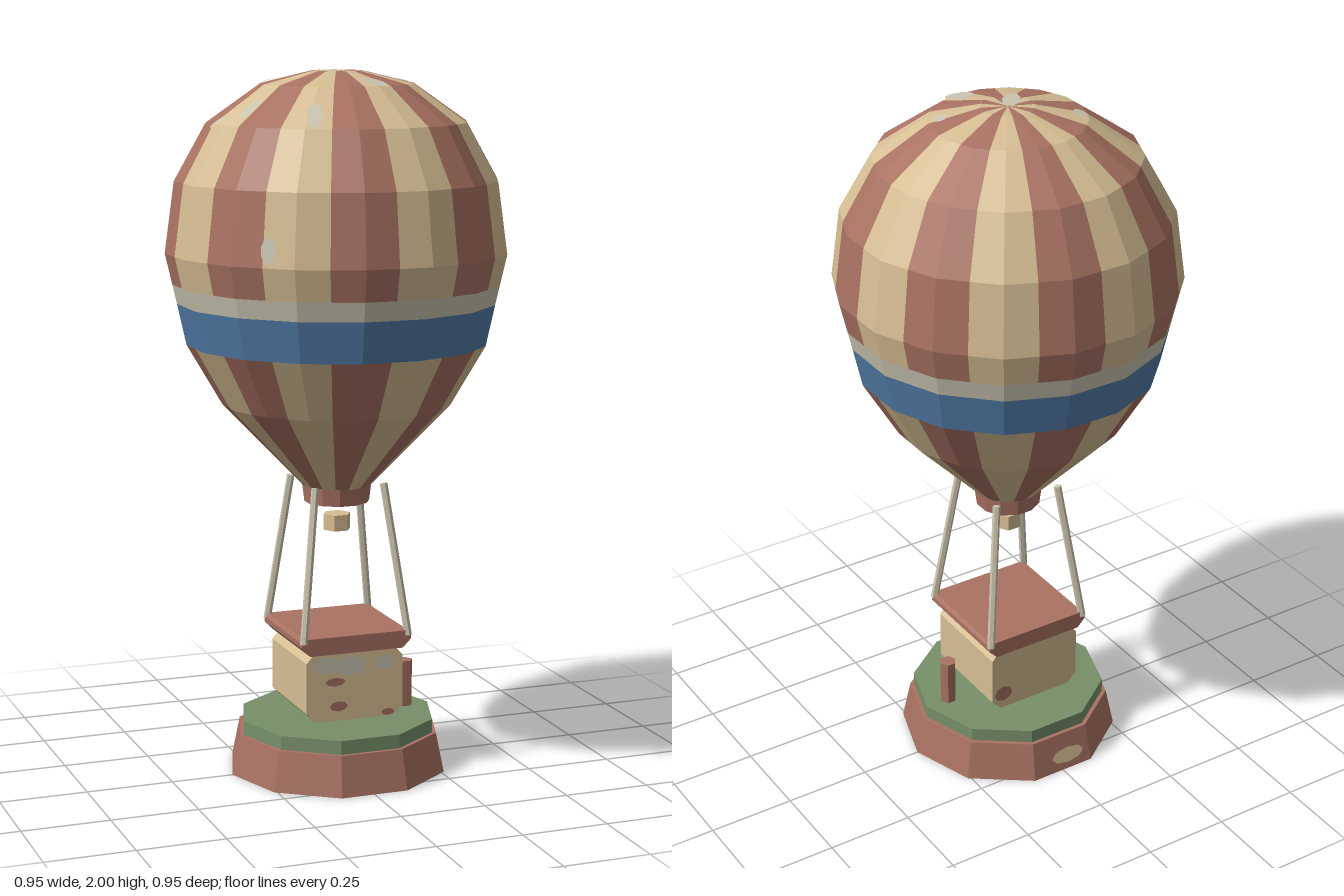
import * as THREE from 'three';

const mat = (name, color) => {
  const m = new THREE.MeshStandardMaterial({ color });
  m.name = name;
  return m;
};

export function createModel() {
  const red = mat('fadedRed', 0xa97262);
  const cream = mat('cream', 0xd6be94);
  const pale = mat('paleGrey', 0xc9c4b0);
  const blue = mat('blue', 0x527ba8);
  const green = mat('green', 0x78906a);
  const ropeMat = mat('rope', 0xcdc6b0);

  const model = new THREE.Group();
  const add = (name, geometry, material, x = 0, y = 0, z = 0, parent = model) => {
    const flat = geometry.index ? geometry.toNonIndexed() : geometry;
    flat.computeVertexNormals();
    const mesh = new THREE.Mesh(flat, material);
    mesh.name = name;
    mesh.position.set(x, y, z);
    parent.add(mesh);
    return mesh;
  };
  // Prism with a corner on the x axis when sides is 6 or 10
  const prism = (rTop, rBottom, h, sides) =>
    new THREE.CylinderGeometry(rTop, rBottom, h, sides, 1, false, Math.PI / sides);

  // Envelope: 16 flat gores; profile gives [distance to flat, height]
  const lower = [[0.095, 0.83], [0.32, 1.07], [0.418, 1.242]];
  const blueBand = [[0.418, 1.242], [0.443, 1.358]];
  const paleBand = [[0.443, 1.358], [0.455, 1.412]];
  const upper = [[0.455, 1.412], [0.475, 1.5], [0.448, 1.7], [0.36, 1.86],
    [0.213, 1.965], [0.072, 2], [0, 2]];
  const step = Math.PI / 16;

  // Each stripe spans the middle of one flat to the middle of the next
  function gores(profile, keep) {
    const pos = [];
    const point = ([a, y], k) => {
      const r = k % 2 ? a / Math.cos(step) : a;
      return [r * Math.sin(k * step), y, r * Math.cos(k * step)];
    };
    for (let k = 0; k < 32; k++) {
      if (!keep(Math.floor(k / 2))) continue;
      for (let j = 0; j < profile.length - 1; j++) {
        const a = point(profile[j], k), b = point(profile[j], k + 1);
        const c = point(profile[j + 1], k + 1), d = point(profile[j + 1], k);
        pos.push(...a, ...b, ...c);
        if (profile[j + 1][0] > 0) pos.push(...a, ...c, ...d);
      }
    }
    const g = new THREE.BufferGeometry();
    g.setAttribute('position', new THREE.Float32BufferAttribute(pos, 3));
    return g;
  }
  const envelope = new THREE.Group();
  envelope.name = 'envelope';
  model.add(envelope);
  const odd = (s) => s % 2 === 1, even = (s) => s % 2 === 0, all = () => true;
  for (const [part, profile] of [['lower', lower], ['upper', upper]]) {
    add(part + 'RedStripes', gores(profile, odd), red, 0, 0, 0, envelope);
    add(part + 'CreamStripes', gores(profile, even), cream, 0, 0, 0, envelope);
  }
  add('blueBand', gores(blueBand, all), blue, 0, 0, 0, envelope);
  add('paleBand', gores(paleBand, all), pale, 0, 0, 0, envelope);

  // Worn spots lying on the flats of the upper envelope: x, z, width, length
  const spots = [[-0.17, -0.09, 0.055, 0.04], [-0.355, 0.025, 0.04, 0.05],
    [-0.285, 0.1, 0.04, 0.09], [0.165, 0.075, 0.04, 0.04], [-0.165, 0.275, 0.045, 0.11],
    [0.04, 0.18, 0.065, 0.09], [-0.32, 0.343, 0.045, 0.07]];
  for (const [x, z, w, l] of spots) {
    const ang = Math.round(Math.atan2(x, z) / (2 * step)) * 2 * step;
    const a = x * Math.sin(ang) + z * Math.cos(ang);
    const u = x * Math.cos(ang) - z * Math.sin(ang);
    let j = 1;
    while (j < upper.length - 2 && upper[j + 1][0] > a) j++;
    const [a0, y0] = upper[j], [a1, y1] = upper[j + 1];
    const y = y0 + (y1 - y0) * (a0 - a) / (a0 - a1);
    const holder = new THREE.Group();
    holder.name = 'wornSpot';
    holder.rotation.y = ang;
    envelope.add(holder);
    const tilt = Math.atan2(a0 - a1, y1 - y0);
    const spot = add('spot', new THREE.CircleGeometry(0.5, 9), pale,
      u, y + 0.003 * Math.sin(tilt), a + 0.003 * Math.cos(tilt), holder);
    spot.rotation.x = -tilt;
    spot.scale.set(w, l, 1);
  }
  const crown = add('crownSpot', new THREE.CircleGeometry(0.5, 9), pale, -0.03, 2.001, 0.03, envelope);
  crown.rotation.set(-Math.PI / 2, 0, -0.7);
  crown.scale.set(0.05, 0.09, 1);

  // Neck and burner
  add('neck', prism(0.1, 0.093, 0.055, 12), red, 0, 0.81, 0);
  add('burner', prism(0.04, 0.04, 0.046, 6), cream, 0, 0.722, 0);

  // Four slanted ropes
  for (const sx of [-1, 1]) for (const sz of [-1, 1]) {
    const top = new THREE.Vector3(sx * 0.103, 0.845, sz * 0.103);
    const bottom = new THREE.Vector3(sx * 0.158, 0.41, sz * 0.158);
    const dir = top.clone().sub(bottom);
    const mid = top.clone().add(bottom).multiplyScalar(0.5);
    const rope = add('rope', new THREE.CylinderGeometry(0.011, 0.011, dir.length(), 6), ropeMat,
      mid.x, mid.y, mid.z);
    rope.quaternion.setFromUnitVectors(new THREE.Vector3(0, 1, 0), dir.normalize());
  }

  // Basket and its lid: mirrored outlines extruded front to back
  function bar(half, depth) {
    const pts = [...half, ...half.map(([x, y]) => [-x, y]).reverse()];
    const shape = new THREE.Shape(pts.map(([x, y]) => new THREE.Vector2(x, y)));
    return new THREE.ExtrudeGeometry(shape, { depth, bevelEnabled: false })
      .translate(0, 0, -depth / 2);
  }
  add('basket', bar([[0.118, 0.175], [0.146, 0.203], [0.146, 0.35], [0.122, 0.377]], 0.294), cream);
  add('basketLid', bar([[0.14, 0.375], [0.165, 0.4], [0.165, 0.415], [0.157, 0.425]], 0.325), red);

  // Worn plates on the basket ends: x, y, width, height, material
  const plate = (name, x, y, z, w, h, m, turn = 0) => {
    const p = add(name, new THREE.CircleGeometry(0.5, 8), m, x, y, z);
    p.scale.set(w, h, 1);
    p.rotation.y = turn;
  };
  for (const [x, y, w, h, m] of [[-0.085, 0.34, 0.09, 0.05, pale], [-0.015, 0.335, 0.1, 0.06, pale],
    [0.09, 0.335, 0.06, 0.045, pale], [-0.06, 0.29, 0.06, 0.025, red],
    [-0.05, 0.218, 0.055, 0.03, red], [0.1, 0.187, 0.04, 0.02, red]])
    plate('basketWear', x, y, 0.15, w, h, m);
  plate('basketWear', 0.11, 0.225, -0.15, 0.06, 0.05, red, Math.PI);

  // Ten-sided base, grass top and post
  add('base', prism(0.296, 0.32, 0.115, 10), red, 0, 0.0575, 0);
  add('grassTop', prism(0.284, 0.284, 0.04, 10), green, 0, 0.135, 0);
  add('post', prism(0.025, 0.025, 0.137, 6), red, 0.21, 0.222, 0);

  // Worn plate on the back of the base
  const chip = add('baseWear', new THREE.CircleGeometry(0.5, 8), cream, -0.02, 0.045, -0.298);
  chip.rotation.set(0.2, Math.PI, 0);
  chip.scale.set(0.11, 0.05, 1);

  return model;
}
